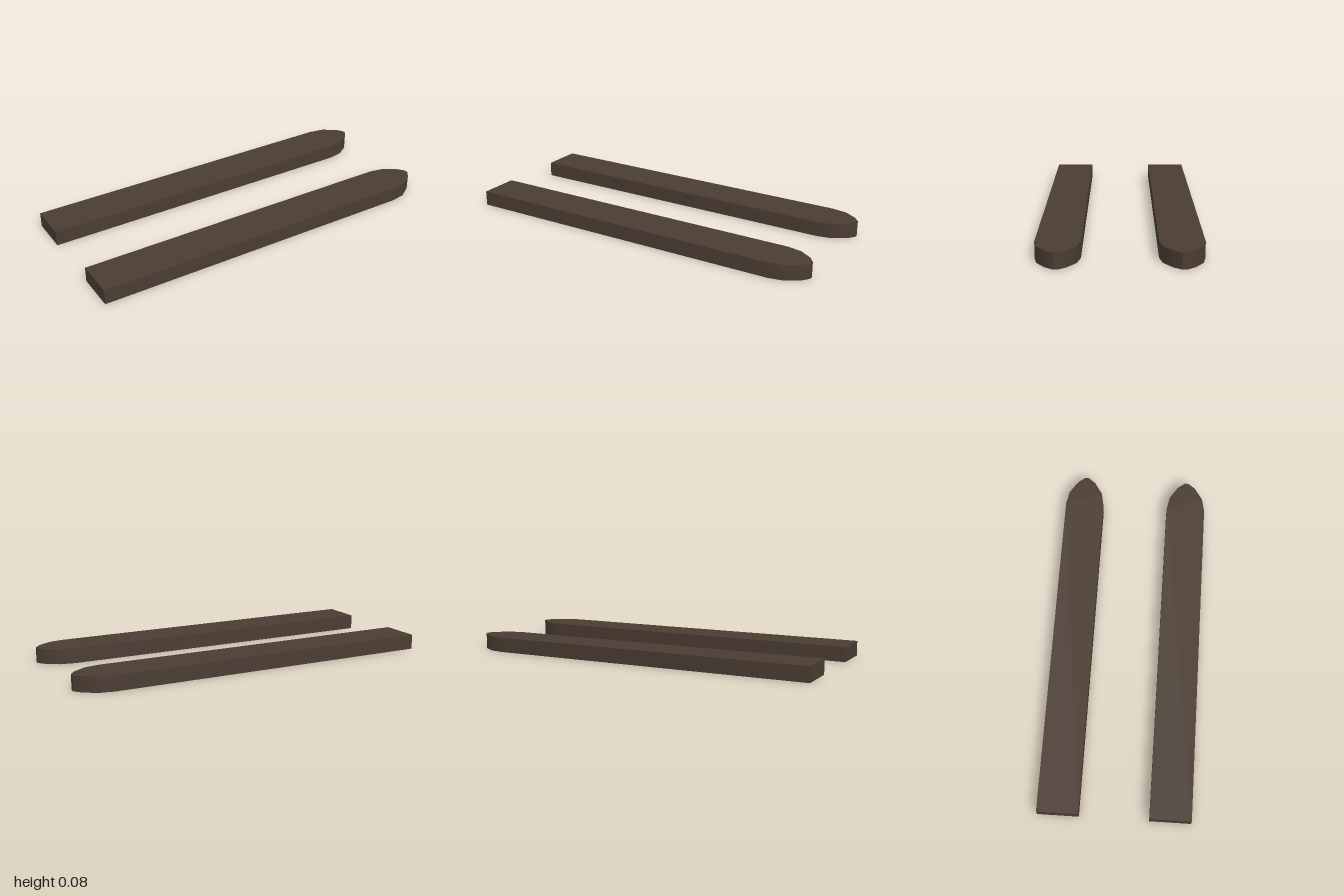
import * as THREE from 'three';
import { toCreasedNormals } from 'three/addons/utils/BufferGeometryUtils.js';

const HEIGHT = 0.082;
const HALF_WIDTH = 0.111;
const SPACING = 0.298; // distance of each runner's centre line from z = 0

// Flat plank with a square tail at -x and a rounded nose at +x
function runnerGeometry() {
  const side = [[-1, HALF_WIDTH], [0.82, HALF_WIDTH], [0.9, 0.096], [0.97, 0.05], [1, 0.011]];
  const outline = [
    ...side.map(([x, w]) => new THREE.Vector2(x, -w)),
    ...side.slice().reverse().map(([x, w]) => new THREE.Vector2(x, w)),
  ];
  const geometry = new THREE.ExtrudeGeometry(new THREE.Shape(outline), { depth: HEIGHT, bevelEnabled: false });
  geometry.rotateX(-Math.PI / 2);
  // Smooth the curve of the nose, keep the long edges and tip sharp
  return toCreasedNormals(geometry, 0.6);
}

export function createModel() {
  const group = new THREE.Group();
  group.name = 'runnerPair';
  const material = new THREE.MeshStandardMaterial({ color: 0x4a3c32 });
  const geometry = runnerGeometry();

  // Front and back runner
  for (const [name, sign] of [['frontRunner', 1], ['backRunner', -1]]) {
    const runner = new THREE.Mesh(geometry, material);
    runner.name = name;
    runner.position.z = sign * SPACING;
    group.add(runner);
  }
  return group;
}
